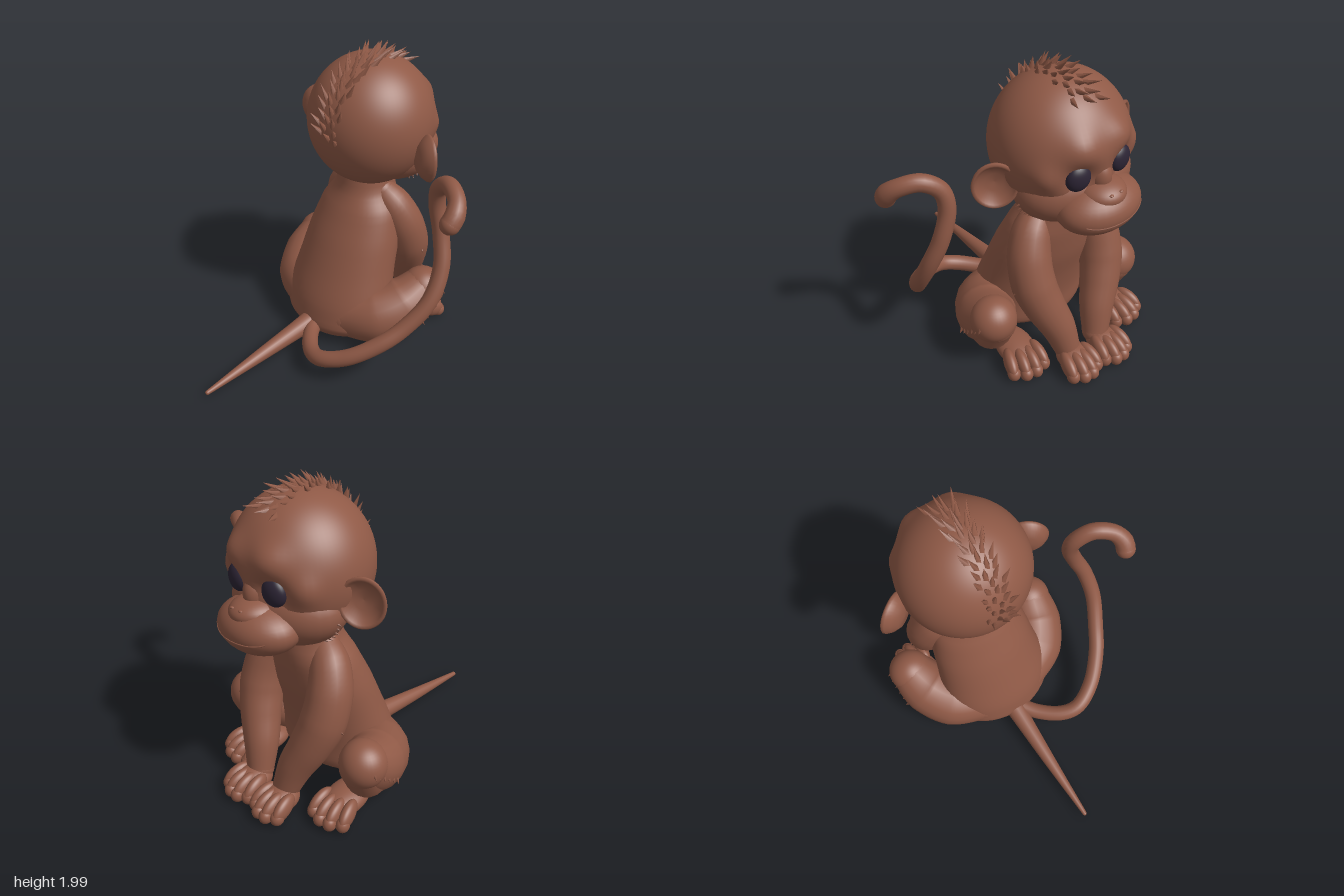
import * as THREE from 'three';
import { mergeVertices } from 'three/addons/utils/BufferGeometryUtils.js';

const V = (x, y, z) => new THREE.Vector3(x, y, z);
const material = (name, color) => {
  const m = new THREE.MeshStandardMaterial({ color });
  m.name = name;
  return m;
};

// Weld seams and recompute smooth normals
function smooth(geo) {
  geo.deleteAttribute('uv');
  geo.deleteAttribute('normal');
  const g = mergeVertices(geo, 1e-4);
  g.computeVertexNormals();
  return g;
}

// Move every vertex of a geometry by a rule
function reshape(geo, rule) {
  const p = geo.attributes.position, v = V(0, 0, 0);
  for (let i = 0; i < p.count; i++) {
    rule(v.fromBufferAttribute(p, i), i);
    p.setXYZ(i, v.x, v.y, v.z);
  }
  return smooth(geo);
}

export function createModel() {
  const fur = material('brown fur', 0x8f5946);
  const eyeDark = material('dark eye', 0x2c2434);

  const model = new THREE.Group();
  model.name = 'monkey';
  const body = new THREE.Group();
  body.name = 'monkeyBody';
  body.position.z = -0.185;
  model.add(body);

  function add(parent, name, geo, mat = fur) {
    const m = new THREE.Mesh(geo, mat);
    m.name = name;
    parent.add(m);
    return m;
  }
  function ball(parent, name, c, r, mat = fur) {
    const m = add(parent, name, new THREE.SphereGeometry(1, 32, 24), mat);
    m.position.set(...c);
    m.scale.set(...r);
    return m;
  }

  // Limb: tube with varying radius and round ends; points are [x, y, z, radius]
  function limb(parent, name, pts, segs = 32) {
    const g = new THREE.Group();
    g.name = name;
    parent.add(g);
    const path = new THREE.CatmullRomCurve3(pts.map(p => V(p[0], p[1], p[2])));
    const n = pts.length - 1, sides = 20;
    const geo = new THREE.TubeGeometry(path, segs, 1, sides);
    add(g, name + 'Tube', reshape(geo, (v, i) => {
      const u = Math.floor(i / (sides + 1)) / segs;
      const c = path.getPointAt(u);
      const t = path.getUtoTmapping(u) * n, k = Math.min(n - 1, Math.floor(t));
      v.sub(c).multiplyScalar(THREE.MathUtils.lerp(pts[k][3], pts[k + 1][3], t - k)).add(c);
    }));
    for (const p of [pts[0], pts[n]]) ball(g, name + 'End', p.slice(0, 3), [p[3], p[3], p[3]]);
  }

  // Torso: stacked ellipses [y, centre x, radius x, radius z]
  const rings = [[0.01, 0.12, 0.01, 0.01], [0.015, 0.13, 0.14, 0.17], [0.06, 0.16, 0.25, 0.31],
    [0.15, 0.18, 0.31, 0.4], [0.3, 0.2, 0.3, 0.39], [0.5, 0.26, 0.28, 0.36], [0.7, 0.33, 0.265, 0.335],
    [0.9, 0.395, 0.23, 0.285], [1.03, 0.43, 0.2, 0.2], [1.2, 0.44, 0.18, 0.17]];
  const centres = new THREE.CatmullRomCurve3(rings.map(r => V(r[1], r[0], 0)));
  const radii = new THREE.CatmullRomCurve3(rings.map(r => V(r[2], 0, r[3])));
  add(body, 'torso', reshape(new THREE.CylinderGeometry(1, 1, 1, 48, 36, true), v => {
    const t = THREE.MathUtils.clamp(v.y + 0.5, 0, 1);
    const c = centres.getPoint(t), r = radii.getPoint(t);
    v.set(c.x + v.x * r.x, c.y, v.z * r.z);
  }));

  // Head: ellipsoid with eye sockets and brow ridges, tilted slightly to its left
  const head = new THREE.Group();
  head.name = 'head';
  const tilt = 0.065;
  head.rotation.x = tilt;
  head.position.set(0, 0.003, 0.02 - 1.49 * tilt);
  body.add(head);
  const bumps = [];
  for (const s of [1, -1]) {
    bumps.push([V(0.83, 1.46, 0.15 * s), -0.06, 0.1], [V(0.82, 1.63, 0.14 * s), 0.035, 0.1],
      [V(0.72, 1.48, 0.31 * s), 0.025, 0.08]);
  }
  const skull = V(0.45, 1.49, 0);
  add(head, 'skull', reshape(new THREE.SphereGeometry(1, 72, 54), v => {
    const d = v.clone();
    v.multiply(V(0.41, 0.432, 0.415)).add(skull);
    let push = 0;
    for (const [c, amount, width] of bumps) push += amount * Math.exp(-v.distanceToSquared(c) / width ** 2);
    v.addScaledVector(d, push);
  }));
  ball(head, 'cheeks', [0.56, 1.295, 0], [0.28, 0.24, 0.385]);
  const mc = [0.79, 1.23, 0], mr = [0.205, 0.155, 0.27];
  ball(head, 'muzzle', mc, mr);
  ball(head, 'nose', [0.81, 1.33, 0], [0.15, 0.08, 0.14]);
  ball(head, 'noseBridge', [0.78, 1.42, 0], [0.09, 0.11, 0.07]);

  // Smile line on the muzzle surface
  const smile = [];
  for (let i = -6; i <= 6; i++) {
    const z = i * 0.034, y = 1.205 + 0.02 * (i / 6) ** 4;
    smile.push(V(mc[0] + mr[0] * Math.sqrt(1 - ((y - mc[1]) / mr[1]) ** 2 - (z / mr[2]) ** 2), y, z));
  }
  add(head, 'mouth', new THREE.TubeGeometry(new THREE.CatmullRomCurve3(smile), 32, 0.004, 6));

  // Eyes, nostrils and cupped ears
  const earProfile = [[0, -0.05], [0.08, -0.045], [0.125, -0.015], [0.15, 0.015], [0.155, 0.03], [0.145, 0.04],
    [0.13, 0.033], [0.11, 0.01], [0.06, -0.01], [0, -0.015]].map(p => new THREE.Vector2(...p));
  for (const s of [1, -1]) {
    ball(head, 'eye', [0.79, 1.465, 0.15 * s], [0.047, 0.083, 0.076], eyeDark).rotation.y = -0.2 * s;
    ball(head, 'nostril', [0.935, 1.372, 0.035 * s], [0.01, 0.007, 0.014]);
    const ear = new THREE.Group();
    ear.name = 'ear';
    ear.position.set(0.45, 1.385, 0.46 * s);
    ear.rotation.y = -0.55 * s;
    head.add(ear);
    const cup = add(ear, 'earCup', new THREE.LatheGeometry(earProfile, 36));
    cup.rotation.z = -Math.PI / 2;
    cup.scale.set(1, 1, 0.87);
  }

  // Fur tufts: small cones along a direction
  function tuft(parent, pos, dir, length, r) {
    const m = add(parent, 'furTuft', new THREE.ConeGeometry(r, length, 5));
    m.position.copy(pos);
    m.quaternion.setFromUnitVectors(V(0, 1, 0), dir.normalize());
  }
  for (let i = 0; i <= 17; i++) {
    const a = 0.95 + i * 0.127;
    for (let j = -1; j <= 1; j++) {
      const b = j * 0.16 + 0.05 * Math.sin(i * 2.3 + j);
      const d = V(Math.cos(a + j * 0.04) * Math.cos(b), Math.sin(a + j * 0.04) * Math.cos(b), Math.sin(b));
      const pos = d.clone().multiply(V(0.42, 0.445, 0.42)).add(skull);
      const lean = V(Math.sin(a), -Math.cos(a), j * 0.4);
      tuft(head, pos, d.add(lean), 0.13 + 0.025 * Math.sin(i * 1.7 + j * 2), 0.027);
    }
  }

  // Paw: rounded palm with four stubby digits
  function paw(name, pos, yaw, length, width) {
    const g = new THREE.Group();
    g.name = name;
    g.position.set(...pos);
    g.rotation.y = yaw;
    body.add(g);
    ball(g, name + 'Palm', [0, 0.08, 0], [length, 0.075, width]);
    for (let i = 0; i < 4; i++) {
      const k = i - 1.5;
      const d = ball(g, name + 'Digit', [length * 0.88 - Math.abs(k) * 0.03, 0.085, k * width * 0.55], [0.1, 0.062, 0.041]);
      d.rotation.set(0, -k * 0.1, -0.4);
      ball(g, name + 'Tip', [length * 0.88 + 0.065 - Math.abs(k) * 0.035, 0.05, k * width * 0.58], [0.045, 0.048, 0.041]);
    }
  }

  for (const s of [1, -1]) {
    // Arms and hands
    limb(body, 'arm', [[0.44, 1.0, 0.14 * s, 0.09], [0.47, 0.92, 0.21 * s, 0.12], [0.52, 0.78, 0.265 * s, 0.135],
      [0.58, 0.6, 0.27 * s, 0.14], [0.64, 0.44, 0.225 * s, 0.128], [0.7, 0.28, 0.16 * s, 0.11], [0.75, 0.12, 0.12 * s, 0.085]]);
    paw('hand', [0.81, 0, 0.125 * s - 0.012], -0.03 * s, 0.12, 0.105);
    // Folded legs and feet
    limb(body, 'thigh', [[0.1, 0.19, 0.16 * s, 0.18], [0.2, 0.215, 0.35 * s, 0.2], [0.35, 0.28, 0.455 * s, 0.19], [0.48, 0.365, 0.5 * s, 0.148]]);
    limb(body, 'shin', [[0.48, 0.34, 0.49 * s, 0.14], [0.42, 0.2, 0.465 * s, 0.13], [0.4, 0.1, 0.41 * s, 0.08]]);
    paw('foot', [0.53, 0, 0.385 * s - 0.025], -0.16 * s, 0.19, 0.12);
    // Sparse tufts on cheeks, arms and knees
    for (let i = 0; i < 6; i++) {
      const b = 0.15 + i * 0.13;
      tuft(head, V(0.56, 1.295 - 0.24 * Math.sin(b), 0.385 * s * Math.cos(b)), V(-0.5, -0.5, s), 0.045, 0.014);
      tuft(body, V(0.49 + 0.016 * i, 0.88 - i * 0.06, (0.345 + 0.012 * i) * s), V(-0.6, -0.8, s), 0.045, 0.014);
      tuft(body, V(0.33 + 0.04 * i, 0.22 + 0.03 * i, 0.64 * s), V(0.3, -0.9, 0.8 * s), 0.04, 0.014);
    }
  }

  // Straight tapered tail
  limb(body, 'straightTail', [[0, 0.13, -0.005, 0.08], [-0.13, 0.115, -0.01, 0.068], [-0.55, 0.075, -0.02, 0.042], [-0.985, 0.038, -0.025, 0.015]]);

  // Curled raised tail
  limb(body, 'curledTail', [[-0.05, 0.12, 0], [-0.2, 0.11, 0.1], [-0.32, 0.13, 0.24], [-0.35, 0.16, 0.355],
    [-0.28, 0.22, 0.515], [-0.13, 0.33, 0.665], [0, 0.43, 0.745], [0.15, 0.6, 0.815], [0.26, 0.8, 0.805], [0.31, 1.0, 0.745],
    [0.31, 1.2, 0.7], [0.29, 1.32, 0.725], [0.25, 1.39, 0.825], [0.18, 1.36, 0.935], [0.12, 1.3, 0.97], [0.09, 1.26, 0.965]]
    .map((p, i) => [...p, i > 13 ? 0.062 : 0.053]), 96);

  return model;
}
